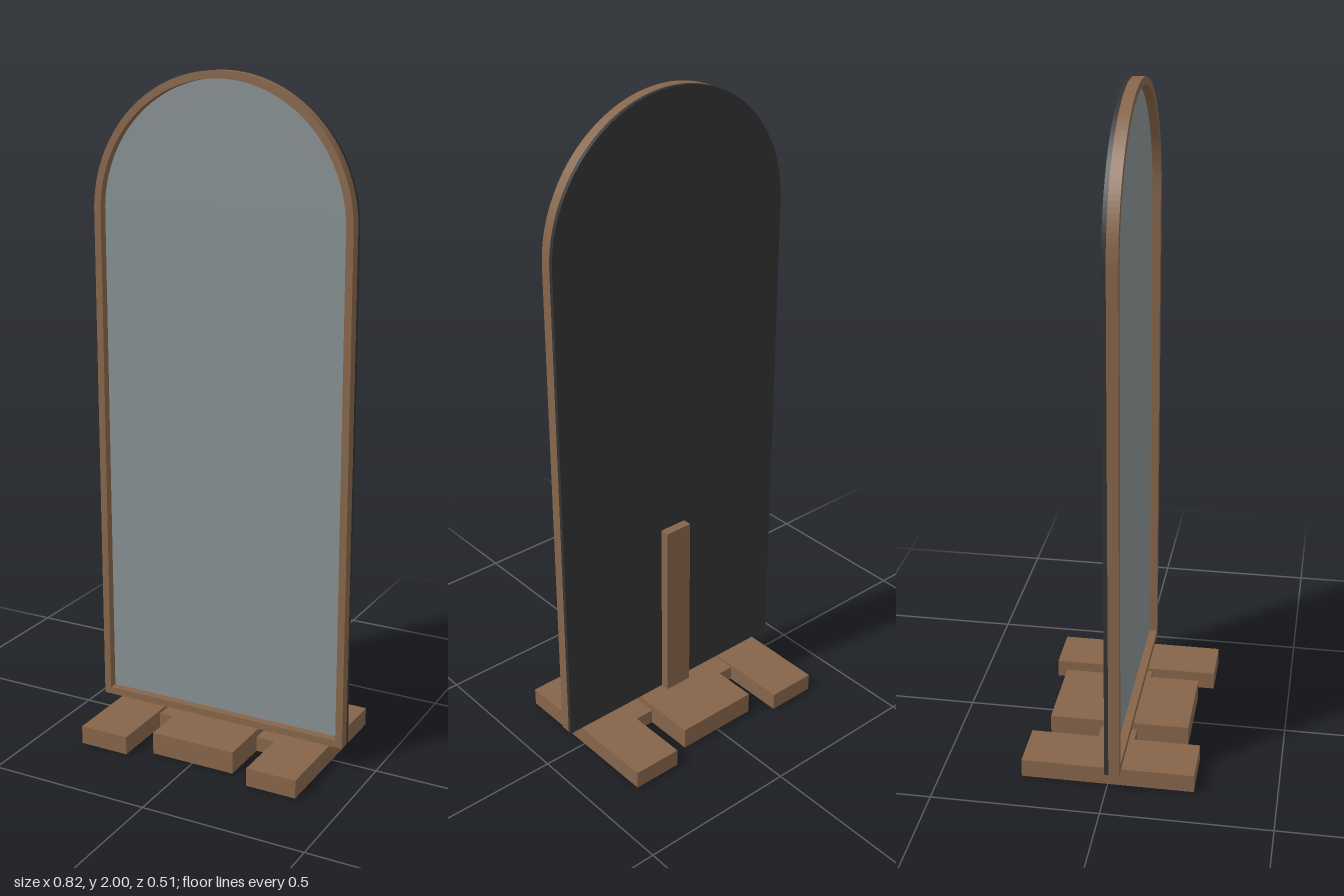
import * as THREE from 'three';

const BOTTOM = 0.068, TOP = 2;

// Arched outline: straight sides with a semicircular top, inset evenly
function archPath(PathClass, inset) {
  const r = 0.408 - inset, spring = TOP - 0.408;
  const p = new PathClass();
  p.moveTo(-r, BOTTOM + inset);
  p.lineTo(r, BOTTOM + inset);
  p.lineTo(r, spring);
  p.absarc(0, spring, r, 0, Math.PI, false);
  p.lineTo(-r, BOTTOM + inset);
  return p;
}

export function createModel() {
  const wood = new THREE.MeshStandardMaterial({ name: 'brown wood', color: 0x86654a });
  const glass = new THREE.MeshStandardMaterial({ name: 'grey mirror glass', color: 0x868e90 });
  const backing = new THREE.MeshStandardMaterial({ name: 'black backing', color: 0x333333 });

  const model = new THREE.Group();
  model.name = 'standingMirror';

  const add = (name, geometry, material) => {
    const mesh = new THREE.Mesh(geometry, material);
    mesh.name = name;
    model.add(mesh);
    return mesh;
  };
  const slab = (name, shape, material, z0, z1) => {
    const geometry = new THREE.ExtrudeGeometry(shape, { depth: z1 - z0, bevelEnabled: false, curveSegments: 40 });
    add(name, geometry.translate(0, 0, z0), material);
  };
  const box = (name, x0, x1, y0, y1, z0, z1) => {
    const geometry = new THREE.BoxGeometry(x1 - x0, y1 - y0, z1 - z0);
    add(name, geometry.translate((x0 + x1) / 2, (y0 + y1) / 2, (z0 + z1) / 2), wood);
  };

  // Mirror: backing board, recessed glass and a raised rim
  slab('backBoard', archPath(THREE.Shape, 0), backing, -0.001, 0.011);
  slab('mirrorGlass', archPath(THREE.Shape, 0.022), glass, 0.011, 0.018);
  const rim = archPath(THREE.Shape, 0);
  rim.holes.push(archPath(THREE.Path, 0.022));
  slab('frame', rim, wood, 0.011, 0.043);

  // Upright brace behind the mirror
  box('backBrace', -0.045, 0.045, BOTTOM, 0.652, -0.029, -0.001);

  // Base: wide middle block, a foot on each side and short connectors
  box('baseCentre', -0.134, 0.134, 0, BOTTOM, -0.215, 0.212);
  for (const [side, s] of [['left', 1], ['right', -1]]) {
    const span = (a, b) => (s > 0 ? [a, b] : [-b, -a]);
    box(side + 'Foot', ...span(0.202, 0.358), 0, 0.056, -0.259, 0.256);
    box(side + 'Connector', ...span(0.134, 0.202), 0, 0.046, -0.057, 0.054);
  }

  return model;
}
